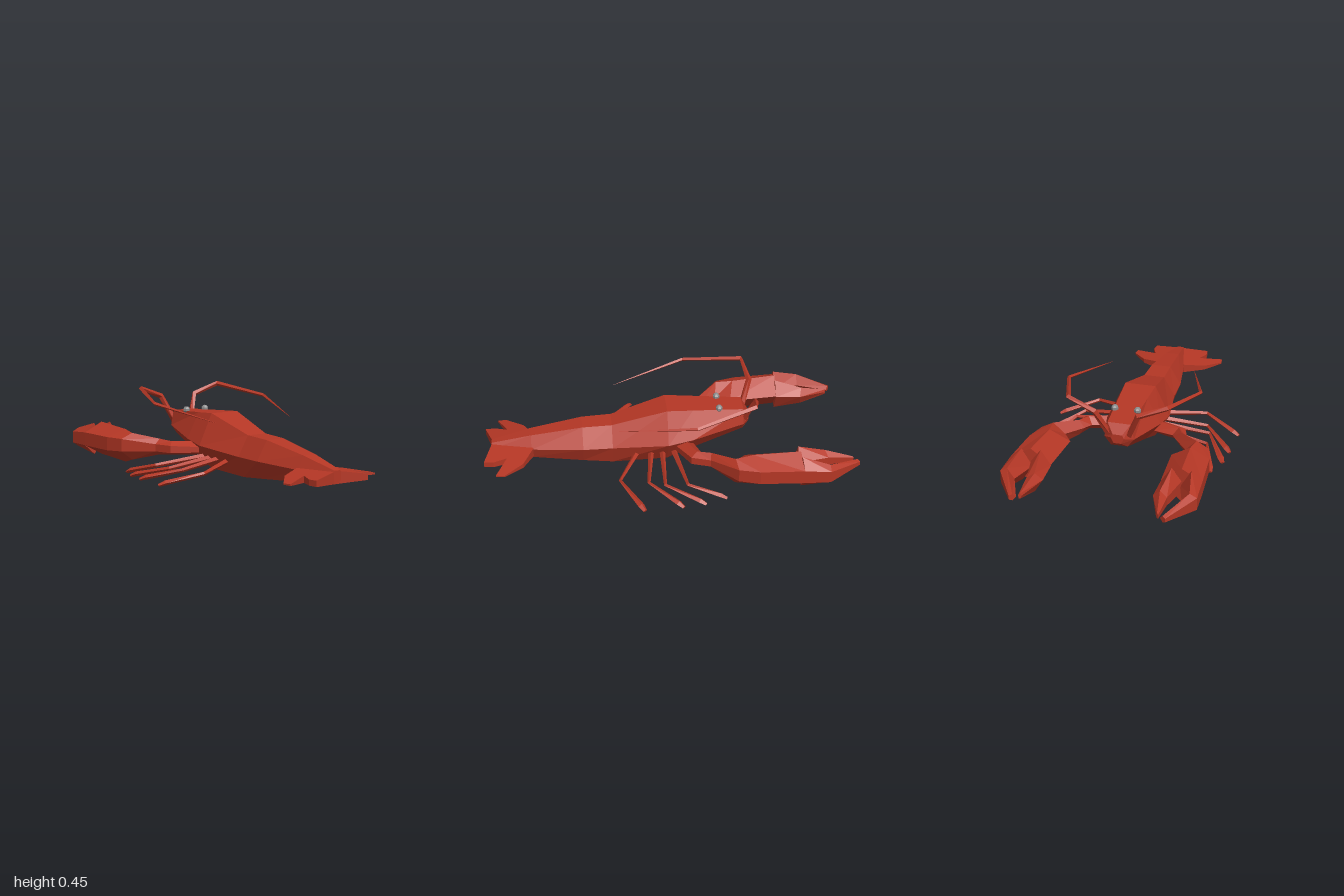
import * as THREE from 'three';

const shell = new THREE.MeshStandardMaterial({ color: 0xb53725, flatShading: true });
shell.name = 'red shell';
const eyeGrey = new THREE.MeshStandardMaterial({ color: 0x8c8c8c, flatShading: true });
eyeGrey.name = 'eye grey';

// Skin a list of equal-length rings of [x, y, z], closing both ends.
// The triangles are flipped when needed so that they always face outward.
function loft(name, rings) {
  const n = rings[0].length;
  const tris = [];
  for (let r = 0; r < rings.length - 1; r++) {
    for (let i = 0; i < n; i++) {
      const j = (i + 1) % n;
      const a = rings[r][i], b = rings[r][j], c = rings[r + 1][j], d = rings[r + 1][i];
      tris.push([a, b, c], [a, c, d]);
    }
  }
  const first = rings[0], last = rings[rings.length - 1];
  for (let i = 1; i < n - 1; i++) {
    tris.push([first[0], first[i + 1], first[i]], [last[0], last[i], last[i + 1]]);
  }
  const o = new THREE.Vector3(...first[0]);
  let volume = 0;
  for (const t of tris) {
    const [a, b, c] = t.map(p => new THREE.Vector3(...p).sub(o));
    volume += a.dot(b.cross(c));
  }
  const points = tris.flatMap(t => (volume < 0 ? [t[0], t[2], t[1]] : t)).flat();
  const geo = new THREE.BufferGeometry();
  geo.setAttribute('position', new THREE.Float32BufferAttribute(points, 3));
  geo.computeVertexNormals();
  const mesh = new THREE.Mesh(geo, shell);
  mesh.name = name;
  return mesh;
}

// Square-section limb along a path; each stop is [x, y, z, half width, half height].
function limb(name, stops, s) {
  const pts = stops.map(p => new THREE.Vector3(p[0] * s, p[1], p[2]));
  const rings = pts.map((p, i) => {
    const dir = pts[Math.min(i + 1, pts.length - 1)].clone().sub(pts[Math.max(i - 1, 0)]).normalize();
    const side = new THREE.Vector3().crossVectors(dir, new THREE.Vector3(0, 1, 0)).normalize();
    const up = new THREE.Vector3().crossVectors(side, dir);
    const [, , , w, h] = stops[i];
    return [[w, 0], [0, h], [-w, 0], [0, -h]].map(([a, b]) =>
      p.clone().addScaledVector(side, a).addScaledVector(up, b).toArray());
  });
  return loft(name, rings);
}

// Body cross-section: flat back, widest line, flat belly.
function bodyRing([z, topW, topY, sideW, sideY, botW, botY]) {
  return [[topW, topY, z], [sideW, sideY, z], [botW, botY, z],
    [-botW, botY, z], [-sideW, sideY, z], [-topW, topY, z]];
}

// Claw cross-section: inner edge, crest, two outer corners, keel.
function clawRing([zi, zo, xi, xo, yi, yTop, yOutHi, yOutLo, yBot], s) {
  const zm = (zi + zo) / 2, xm = (xi + xo) / 2;
  return [[xi * s, yi, zi], [xm * s, yTop, zm], [xo * s, yOutHi, zo],
    [xo * s, yOutLo, zo], [xm * s, yBot, zm]];
}

// Flat tail lobe: an outline of [x, z] whose surface drops away from the middle.
function tailLobe(name, outline, s) {
  const top = outline.map(([x, z]) => [x * s, 0.15 - 0.15 * x, z]);
  const bottom = outline.map(([x, z]) => [x * s, 0.085 + 0.06 * x, z]);
  return loft(name, [top, bottom]);
}

export function createModel() {
  const model = new THREE.Group();
  model.name = 'lobster';

  // Carapace and abdomen
  model.add(loft('carapace', [
    [-0.455, 0.025, 0.26, 0.035, 0.24, 0.02, 0.21],
    [-0.42, 0.062, 0.31, 0.08, 0.225, 0.045, 0.18],
    [-0.14, 0.077, 0.328, 0.15, 0.185, 0.07, 0.085],
    [0, 0.085, 0.337, 0.165, 0.165, 0.085, 0.035],
    [0.3, 0.058, 0.25, 0.12, 0.14, 0.085, 0.03],
  ].map(bodyRing)));
  model.add(loft('abdomen', [
    [0.3, 0.058, 0.25, 0.12, 0.14, 0.085, 0.03],
    [0.46, 0.055, 0.244, 0.117, 0.138, 0.075, 0.043],
    [0.74, 0.038, 0.2, 0.073, 0.13, 0.05, 0.067],
    [0.955, 0.018, 0.153, 0.035, 0.125, 0.025, 0.1],
  ].map(bodyRing)));

  for (const s of [1, -1]) {
    const side = s > 0 ? 'left' : 'right';

    // Tail fan
    model.add(tailLobe(side + 'OuterTailLobe',
      [[0.04, 0.74], [0.075, 0.73], [0.19, 0.785], [0.275, 0.885], [0.268, 0.93], [0.14, 0.872], [0.04, 0.88]], s));
    model.add(tailLobe(side + 'InnerTailLobe',
      [[0, 0.78], [0.1, 0.8], [0.14, 0.872], [0.168, 0.945], [0.162, 0.995], [0.015, 0.953], [0, 0.953]], s));

    // Claw arm, palm and the two fingers
    const claw = new THREE.Group();
    claw.name = side + 'Claw';
    claw.add(loft('armAndPalm', [
      [-0.14, -0.04, 0.11, 0.14, 0.14, 0.175, 0.15, 0.12, 0.1],
      [-0.175, -0.11, 0.225, 0.28, 0.145, 0.18, 0.16, 0.12, 0.105],
      [-0.22, -0.21, 0.255, 0.315, 0.145, 0.188, 0.16, 0.12, 0.1],
      [-0.32, -0.34, 0.33, 0.455, 0.15, 0.215, 0.185, 0.115, 0.065],
      [-0.4, -0.45, 0.275, 0.485, 0.155, 0.225, 0.185, 0.11, 0.04],
      [-0.67, -0.68, 0.288, 0.5, 0.16, 0.24, 0.185, 0.11, 0.052],
    ].map(r => clawRing(r, s))));
    claw.add(loft('outerFinger', [
      [-0.67, -0.68, 0.385, 0.5, 0.14, 0.236, 0.185, 0.11, 0.055],
      [-0.82, -0.82, 0.43, 0.505, 0.14, 0.195, 0.175, 0.11, 0.085],
      [-0.98, -1, 0.362, 0.392, 0.14, 0.158, 0.15, 0.13, 0.122],
    ].map(r => clawRing(r, s))));
    claw.add(loft('innerFinger', [
      [-0.67, -0.67, 0.288, 0.395, 0.155, 0.236, 0.17, 0.11, 0.055],
      [-0.81, -0.835, 0.283, 0.36, 0.15, 0.19, 0.165, 0.12, 0.088],
      [-0.965, -0.975, 0.338, 0.352, 0.14, 0.155, 0.15, 0.13, 0.125],
    ].map(r => clawRing(r, s))));
    model.add(claw);

    // Walking legs: hip, knee and foot as [x, z]
    [
      [[0.1, -0.03], [0.395, -0.08], [0.457, -0.28]],
      [[0.1, 0.03], [0.385, 0.04], [0.5, -0.165]],
      [[0.1, 0.09], [0.355, 0.125], [0.515, -0.045]],
      [[0.08, 0.155], [0.32, 0.275], [0.525, 0.16]],
    ].forEach(([hip, knee, foot], i) => {
      const mid = [0, 1].map(k => knee[k] + (foot[k] - knee[k]) * 0.85);
      model.add(limb(side + 'Leg' + (i + 1), [
        [hip[0], 0.1, hip[1], 0.016, 0.016],
        [knee[0], 0.068, knee[1], 0.009, 0.011],
        [mid[0], 0.024, mid[1], 0.018, 0.013],
        [foot[0], 0.011, foot[1], 0.011, 0.008],
      ], s));
    });

    // Antenna
    model.add(limb(side + 'Antenna', [
      [0.055, 0.25, -0.425, 0.018, 0.018],
      [0.115, 0.39, -0.473, 0.016, 0.016],
      [0.26, 0.443, -0.45, 0.014, 0.014],
      [0.365, 0.395, -0.13, 0.01, 0.01],
      [0.24, 0.325, 0.27, 0.001, 0.001],
    ], s));

    // Eye
    const eye = new THREE.Mesh(new THREE.SphereGeometry(0.02, 7, 5), eyeGrey);
    eye.name = side + 'Eye';
    eye.position.set(0.062 * s, 0.325, -0.285);
    model.add(eye);
  }
  return model;
}
